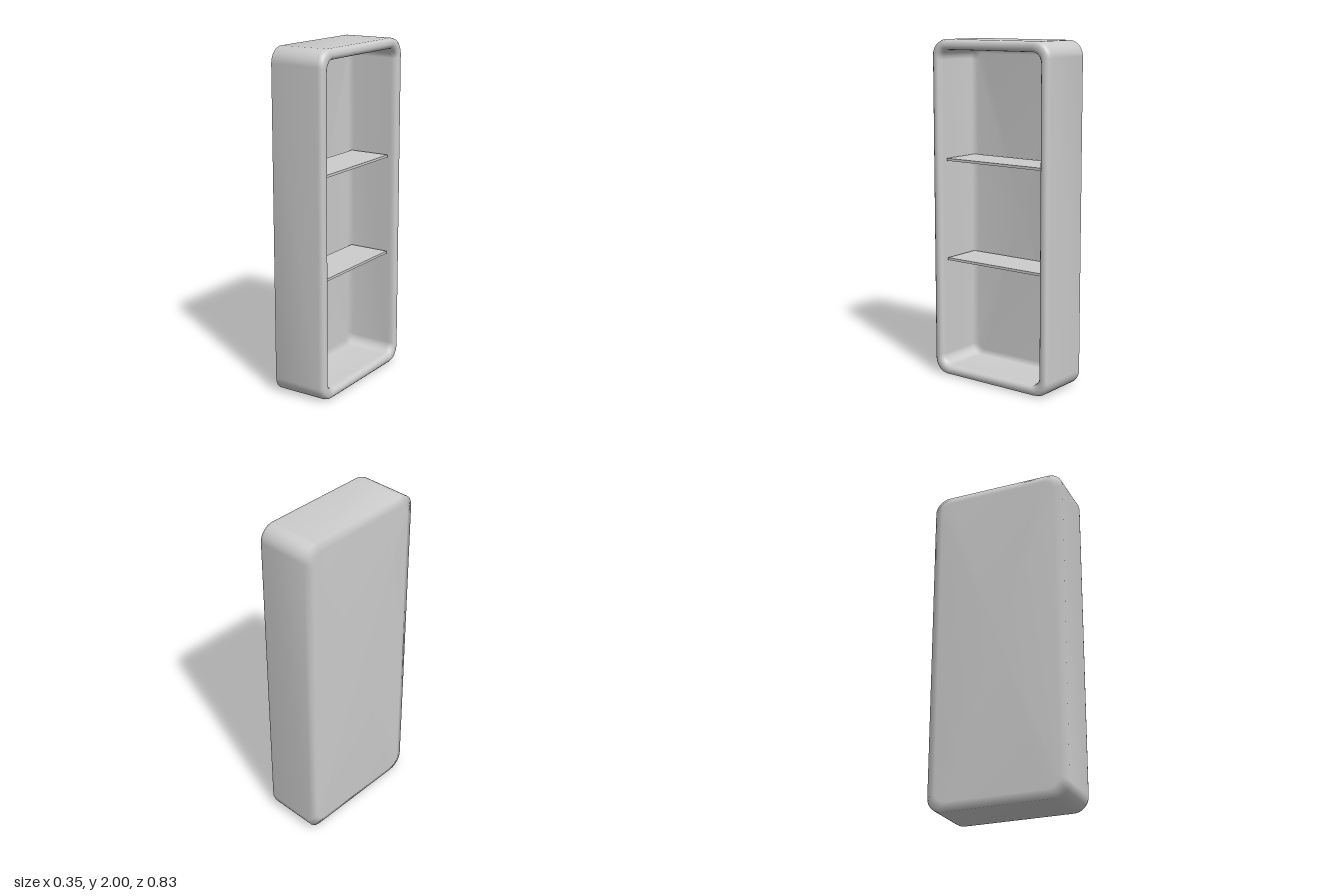
import * as THREE from 'three';

const HALF_Y = 1, HALF_Z = 0.415, RADIUS = 0.09, CORNER_STEPS = 8;

// Rounded rectangle in the y/z plane, shrunk by an inset
function ring(x, inset) {
  const r = Math.max(RADIUS - inset * 0.5, 0.03);
  const cy = HALF_Y - inset - r, cz = HALF_Z - inset - r;
  const signs = [[1, 1], [-1, 1], [-1, -1], [1, -1]];
  const points = [];
  signs.forEach(([sz, sy], q) => {
    for (let k = 0; k <= CORNER_STEPS; k++) {
      const t = (q + k / CORNER_STEPS) * Math.PI / 2;
      points.push([x, 1 + sy * cy + r * Math.sin(t), sz * cz + r * Math.cos(t)]);
    }
  });
  return points;
}

// Smooth skin through a series of [x, inset] rings, closed by a panel at each end
function skin(profile) {
  const rings = profile.map(([x, inset]) => ring(x, inset));
  const n = rings[0].length, positions = rings.flat(2), index = [];
  for (let i = 0; i < rings.length - 1; i++) {
    for (let j = 0; j < n; j++) {
      const a = i * n + j, c = i * n + (j + 1) % n;
      index.push(a, a + n, c, c, a + n, c + n);
    }
  }
  // The first panel faces -x, the last one faces +x
  const addPanel = (row, flip) => {
    const center = positions.length / 3;
    positions.push(profile[row][0], 1, 0);
    for (let j = 0; j < n; j++) {
      const a = row * n + j, b = row * n + (j + 1) % n;
      if (flip) index.push(center, b, a);
      else index.push(center, a, b);
    }
  };
  addPanel(0, false);
  addPanel(rings.length - 1, true);
  const geometry = new THREE.BufferGeometry();
  geometry.setAttribute('position', new THREE.Float32BufferAttribute(positions, 3));
  geometry.setIndex(index);
  geometry.computeVertexNormals();
  return geometry;
}

export function createModel() {
  const group = new THREE.Group();
  const grey = new THREE.MeshStandardMaterial({ color: 0xcccccc });
  grey.name = 'light grey';
  const add = (name, geometry) => {
    const mesh = new THREE.Mesh(geometry, grey);
    mesh.name = name;
    group.add(mesh);
    return mesh;
  };

  // Hollow case: bevelled back, outer wall, rounded rim, inner wall, recessed panel
  add('case', skin([
    [-0.178, 0.05], [-0.16, 0], [0.14, 0],
    [0.16, 0.006], [0.169, 0.016], [0.172, 0.033], [0.168, 0.048], [0.155, 0.058], [0.13, 0.06],
    [-0.125, 0.06], [-0.148, 0.09],
  ]));

  // Thin shelves
  for (const [name, y] of [['lowerShelf', 0.706], ['upperShelf', 1.302]]) {
    add(name, new THREE.BoxGeometry(0.25, 0.015, 0.675)).position.set(0, y, 0.002);
  }
  return group;
}
